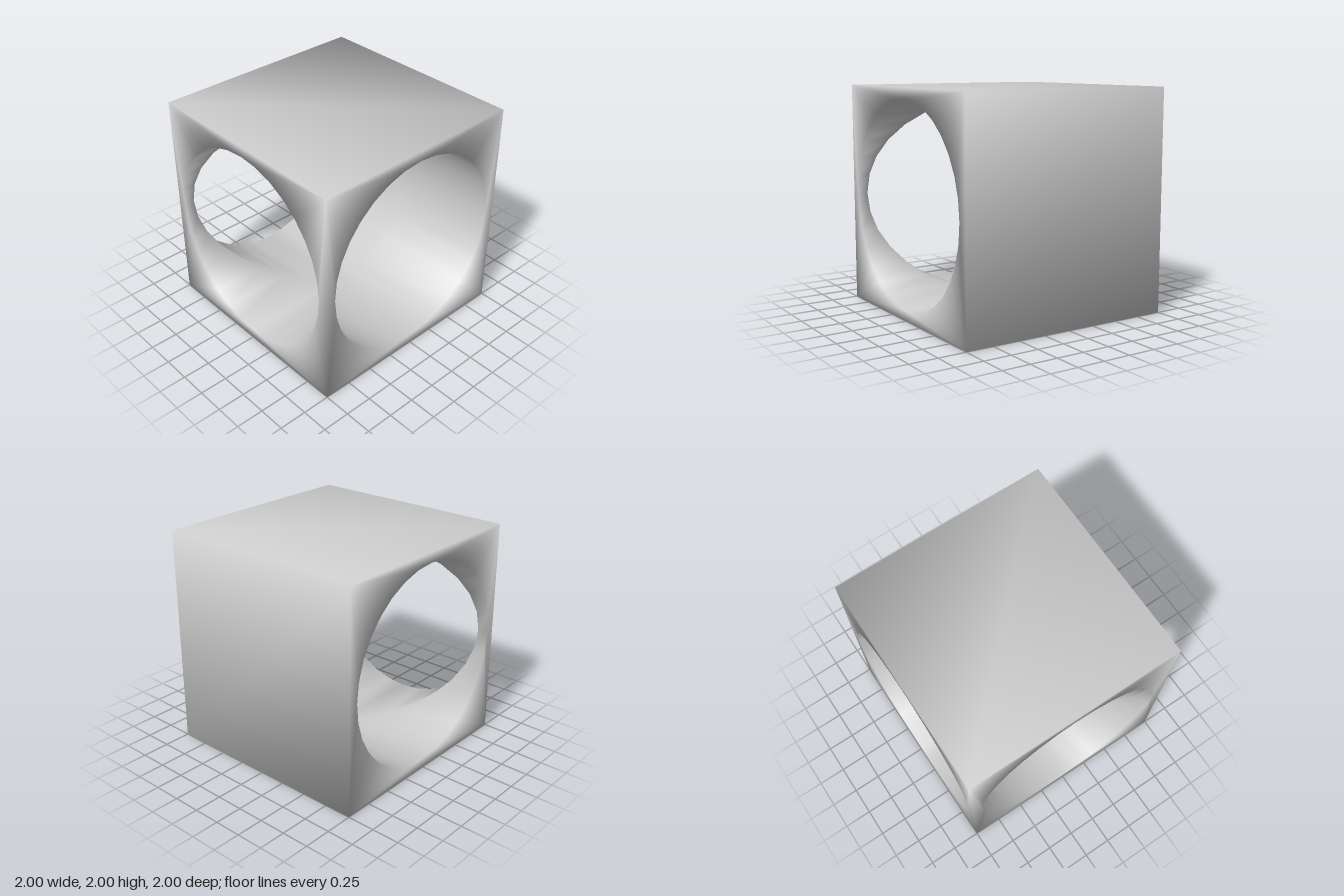
import * as THREE from 'three';
import { mergeGeometries, mergeVertices } from 'three/addons/utils/BufferGeometryUtils.js';

const R = 0.91;      // bore radius
const SIDES = 32;    // bore facets

// bare positions, so that shared corners can be welded and shaded smoothly
function bare(geometry) {
  const g = geometry.index ? geometry.toNonIndexed() : geometry;
  g.deleteAttribute('uv');
  g.deleteAttribute('normal');
  return g;
}

const rim = [];
for (let i = 0; i < SIDES; i++) {
  const a = (i / SIDES) * Math.PI * 2;
  rim.push(new THREE.Vector2(R * Math.cos(a), R * Math.sin(a)));
}

// square face at z = 1 with the round opening
function openFace() {
  const shape = new THREE.Shape([[-1, -1], [1, -1], [1, 1], [-1, 1]].map(p => new THREE.Vector2(...p)));
  shape.holes.push(new THREE.Path(rim));
  return bare(new THREE.ShapeGeometry(shape)).translate(0, 0, 1);
}

// bore wall facing its axis, from the seam with the other bores to z = 1
function boreWall(seam) {
  const pos = [];
  rim.forEach((p, i) => {
    const q = rim[(i + 1) % SIDES];
    const A = [p.x, p.y, seam(p.x)], B = [q.x, q.y, seam(q.x)];
    const C = [q.x, q.y, 1], D = [p.x, p.y, 1];
    pos.push(...A, ...D, ...C, ...A, ...C, ...B);
  });
  return new THREE.BufferGeometry().setAttribute('position', new THREE.Float32BufferAttribute(pos, 3));
}

export function createModel() {
  const parts = [];

  // three open sides: front, +x and -x
  const arms = [
    [0, c => Math.abs(c)],
    [Math.PI / 2, c => Math.max(0, -c)],
    [-Math.PI / 2, c => Math.max(0, c)],
  ];
  for (const [turn, seam] of arms) {
    parts.push(openFace().rotateY(turn), boreWall(seam).rotateY(turn));
  }

  // three closed sides: back, top, bottom
  const closed = () => bare(new THREE.PlaneGeometry(2, 2)).translate(0, 0, 1);
  parts.push(closed().rotateY(Math.PI), closed().rotateX(-Math.PI / 2), closed().rotateX(Math.PI / 2));

  // weld and smooth across all edges
  const geometry = mergeVertices(mergeGeometries(parts), 1e-4);
  geometry.computeVertexNormals();
  geometry.translate(0, 1, 0);

  const block = new THREE.Mesh(geometry, new THREE.MeshStandardMaterial({ color: 0xcccccc }));
  block.name = 'boredCube';
  const group = new THREE.Group();
  group.name = 'cubeWithTeeBore';
  group.add(block);
  return group;
}
